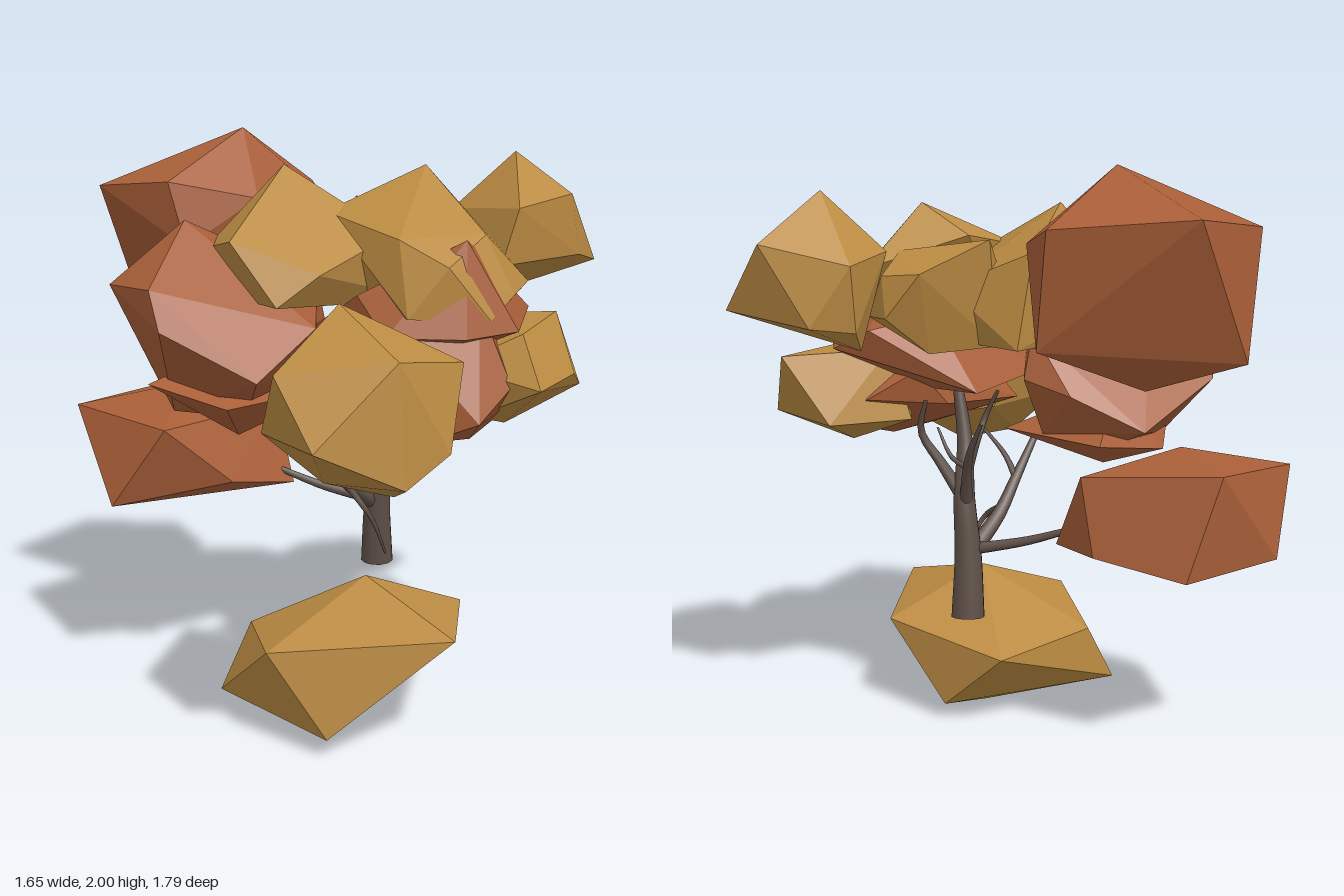
import * as THREE from 'three';
import { ConvexGeometry } from 'three/addons/geometries/ConvexGeometry.js';

const V = (p) => new THREE.Vector3(...p);

// Faceted leaf clump: convex hull around a few corners
function clump(name, material, corners) {
  const mesh = new THREE.Mesh(new ConvexGeometry(corners.map(V)), material);
  mesh.name = name;
  return mesh;
}

// Tapered round limb along a smooth path
function limb(name, material, path, r0, r1, sides = 8) {
  const curve = new THREE.CatmullRomCurve3(path.map(V));
  const rings = (path.length - 1) * 4;
  const geo = new THREE.TubeGeometry(curve, rings, 1, sides);
  const pos = geo.attributes.position;
  const v = new THREE.Vector3();
  for (let i = 0; i < pos.count; i++) {
    const t = Math.floor(i / (sides + 1)) / rings;
    const c = curve.getPointAt(t);
    v.fromBufferAttribute(pos, i).sub(c).multiplyScalar(r0 + (r1 - r0) * t).add(c);
    pos.setXYZ(i, v.x, v.y, v.z);
  }
  const mesh = new THREE.Mesh(geo, material);
  mesh.name = name;
  return mesh;
}

export function createModel() {
  const gold = new THREE.MeshStandardMaterial({ color: 0xbb8b42 });
  gold.name = 'goldLeaves';
  const rust = new THREE.MeshStandardMaterial({ color: 0xa85e38 });
  rust.name = 'rustLeaves';
  const bark = new THREE.MeshStandardMaterial({ color: 0x5f5048 });
  bark.name = 'bark';

  const model = new THREE.Group();
  model.name = 'autumnTree';

  // Leaf clumps
  model.add(
    clump('lowClump', gold, [
      [-0.17, 0.51, 0.26], [-0.18, 0.4, 0.69], [-0.61, 0.35, 0.26], [0.21, 0.35, 0.35],
      [-0.11, 0, 0.17], [-0.5, 0.07, 0.43], [-0.51, 0.07, -0.12], [0.14, 0.06, 0.12],
      [0.09, 0.28, -0.13], [-0.38, 0.29, -0.11]]),
    clump('lowBackClump', rust, [
      [-0.35, 0.77, -0.24], [-0.58, 0.98, -0.32], [0, 0.98, -0.42], [0.02, 0.72, -0.5],
      [-0.1, 0.67, -0.8], [-0.2, 1.02, -0.86], [-0.3, 1.07, -0.6], [-0.45, 0.71, -0.9],
      [-0.69, 0.69, -0.5], [-0.62, 1, -0.82], [-0.05, 0.71, -0.26]]),
    clump('rightFrontClump', gold, [
      [-0.56, 1.51, 0.56], [-0.6, 1.38, 0.85], [-0.22, 1.32, 0.74], [-0.43, 1.1, 0.89],
      [-0.81, 1.33, 0.56], [-0.83, 1.14, 0.75], [-0.57, 0.96, 0.5], [-0.42, 0.92, 0.65],
      [-0.17, 1.04, 0.6], [-0.42, 1.35, 0.29], [-0.3, 1.1, 0.33], [-0.72, 1.12, 0.39],
      [-0.6, 1.02, 0.88]]),
    clump('leftFrontClump', gold, [
      [0.06, 1.2, 0.81], [0.12, 1.36, 0.68], [0.34, 1.21, 0.72], [0.61, 1.36, 0.42],
      [0.5, 1.14, 0.62], [0.25, 1.02, 0.5], [0.04, 1.08, 0.55], [-0.01, 1.25, 0.5],
      [0.25, 1.37, 0.28], [0.5, 1.12, 0.3], [0.2, 1.12, 0.22]]),
    clump('leftHighClump', gold, [
      [0.53, 1.92, 0.28], [0.82, 1.75, 0.22], [0.82, 1.53, 0.42], [0.6, 1.57, 0.52],
      [0.3, 1.74, 0.5], [0.25, 1.55, 0.47], [0.47, 1.39, 0.15], [0.55, 1.46, 0.07],
      [0.59, 1.68, 0.04], [0.38, 1.72, 0.12], [0.32, 1.48, 0.3], [0.7, 1.48, 0.12],
      [0.55, 1.78, 0.52]]),
    clump('topBackClump', rust, [
      [-0.09, 2, -0.48], [-0.03, 1.83, -0.88], [-0.55, 1.8, -0.72], [-0.48, 1.82, -0.4],
      [-0.44, 1.6, -0.36], [-0.2, 1.76, -0.26], [-0.02, 1.45, -0.28], [0.13, 1.75, -0.29],
      [0.29, 1.8, -0.54], [-0.32, 1.37, -0.85], [-0.146, 1.27, -0.57], [0.25, 1.42, -0.46]]),
    clump('rightBackClump', rust, [
      [-0.5, 1.7, -0.28], [-0.72, 1.49, -0.41], [-0.76, 1.5, -0.12], [-0.76, 1.37, -0.07],
      [-0.52, 1.2, 0.12], [-0.5, 1.28, -0.57], [-0.55, 1.05, -0.3], [-0.3, 1, -0.22],
      [-0.15, 1.13, -0.57], [0.03, 1.25, -0.4], [-0.02, 1.1, -0.22], [0.1, 1.3, -0.25],
      [0.06, 1.46, -0.25], [-0.25, 1.35, 0.1]]),
    clump('rightInnerClump', rust, [
      [-0.72, 1.18, -0.2], [-0.35, 1.04, -0.48], [-0.05, 1.08, -0.46], [-0.35, 0.95, -0.2],
      [0, 1.1, -0.05], [-0.55, 1.1, 0], [-0.3, 1.25, -0.3]]),
    clump('topClump', gold, [
      [-0.19, 1.88, -0.13], [-0.55, 1.65, 0.03], [-0.4, 1.6, -0.3], [0.1, 1.72, -0.29],
      [0.22, 1.6, 0], [-0.05, 1.66, 0.26], [-0.38, 1.55, 0.27], [-0.5, 1.45, 0.2],
      [-0.2, 1.4, -0.1], [0.15, 1.4, -0.27], [0.17, 1.42, 0.2], [-0.3, 1.42, -0.25]]),
    clump('innerClump', gold, [
      [0.17, 1.76, -0.16], [0.38, 1.65, -0.05], [0.43, 1.5, 0.07], [0.3, 1.38, 0],
      [0.1, 1.4, -0.12], [0.05, 1.6, -0.1], [0, 1.7, 0.2], [0.4, 1.5, 0.2],
      [0.15, 1.42, 0.25], [0.3, 1.72, 0.15], [0.42, 1.64, 0.1]]),
    clump('topFrontClump', gold, [
      [0.16, 1.88, 0.2], [0.12, 1.77, 0], [-0.17, 1.73, 0.06], [-0.18, 1.66, 0.42],
      [-0.22, 1.42, 0.5], [0, 1.41, 0.65], [0.12, 1.48, 0.64], [0.08, 1.67, 0.55],
      [-0.12, 1.58, 0.58], [0.33, 1.5, 0.52], [0.41, 1.66, 0.2], [-0.1, 1.5, 0.1],
      [0.2, 1.4, 0.3]]),
    clump('middleClump', rust, [
      [-0.03, 1.66, 0.57], [-0.25, 1.48, 0.3], [-0.27, 1.36, 0.45], [0.1, 1.37, 0.68],
      [-0.1, 1.36, 0.64], [0.44, 1.38, 0.35], [0.4, 1.45, 0.2], [0.2, 1.25, -0.13],
      [-0.2, 1.3, -0.05], [0.1, 1.22, 0.3], [0.2, 1.5, 0.1], [0.3, 1.42, 0.55]]),
    clump('underClump', rust, [
      [0, 1.46, 0.6], [-0.24, 1.4, 0.45], [-0.19, 1.03, 0.55], [0.02, 1.01, 0.55],
      [0.2, 1.1, 0.36], [0.14, 1.4, 0.5], [-0.32, 1.15, 0.22], [0.08, 1.17, 0.16],
      [0.05, 1.2, 0.7], [-0.1, 1.1, 0.7], [0.38, 1.1, 0.48], [0.36, 1.2, 0.27], [0.2, 1.3, 0.18]]),
  );

  // Trunk with a closed foot
  model.add(limb('trunk', bark,
    [[0.14, 0.43, -0.01], [0.125, 0.65, 0.005], [0.12, 0.86, 0.03], [0.08, 1.04, 0.07], [0.07, 1.25, 0.12]],
    0.06, 0.018, 12));
  const foot = new THREE.Mesh(new THREE.CircleGeometry(0.06, 12), bark);
  foot.name = 'trunkFoot';
  foot.rotation.x = Math.PI / 2;
  foot.position.set(0.14, 0.431, -0.01);
  model.add(foot);

  // Branches and twigs: path, start radius, end radius
  const branches = [
    [[[0.11, 0.66, 0], [-0.05, 0.77, 0.03], [-0.16, 0.88, 0.06], [-0.3, 1.02, 0.1]], 0.032, 0.012],
    [[[0.11, 0.67, 0], [0, 0.71, -0.16], [-0.1, 0.77, -0.32], [-0.15, 0.8, -0.42]], 0.022, 0.007],
    [[[-0.08, 0.79, 0.04], [-0.1, 0.73, 0.16], [-0.06, 0.66, 0.18], [0, 0.53, 0.18]], 0.014, 0.004],
    [[[0.12, 0.82, 0.02], [0.16, 0.95, -0.03], [0.19, 1.04, -0.08], [0.2, 1.15, -0.15]], 0.025, 0.006],
    [[[0.12, 0.85, 0.03], [0.15, 0.97, 0.12], [0.19, 1.08, 0.18], [0.2, 1.2, 0.14]], 0.026, 0.007],
    [[[0.1, 0.93, 0.04], [0.09, 1.05, 0], [0.05, 1.15, -0.01], [0.04, 1.24, -0.06]], 0.018, 0.006],
    [[[0.17, 0.98, -0.04], [0.22, 1.02, -0.02], [0.24, 1.12, 0.03]], 0.011, 0.004],
    [[[-0.16, 0.88, 0.06], [-0.16, 0.96, 0.12], [-0.12, 1.06, 0.2]], 0.013, 0.005],
  ];
  branches.forEach(([path, r0, r1], i) => model.add(limb('branch' + (i + 1), bark, path, r0, r1)));

  return model;
}
